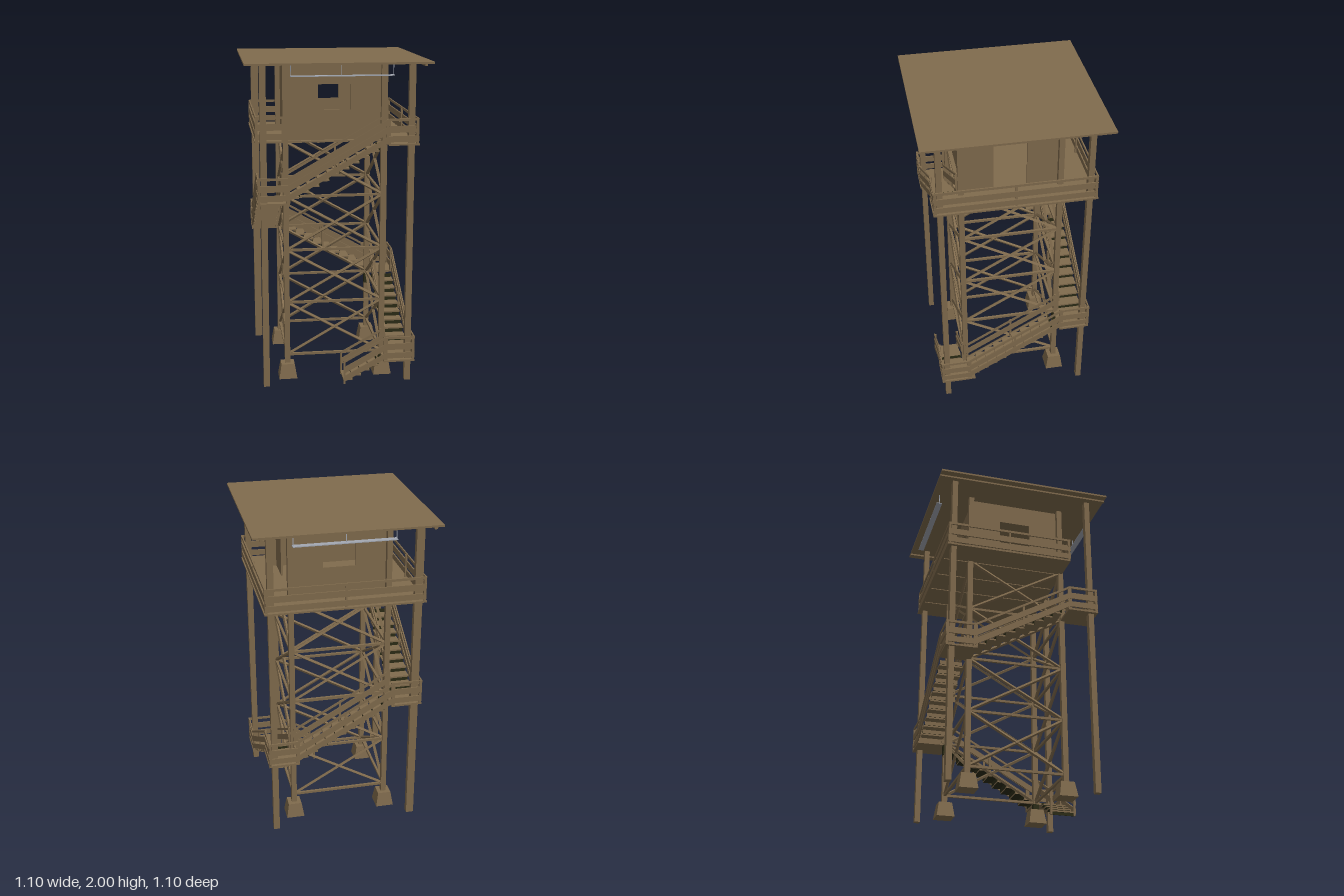
import * as THREE from 'three';

const wood = new THREE.MeshStandardMaterial({ color: 0x806b4d });
wood.name = 'brown wood';
const dark = new THREE.MeshStandardMaterial({ color: 0x2b2b16 });
dark.name = 'dark green wood';
const metal = new THREE.MeshStandardMaterial({ color: 0xa3a8b2 });
metal.name = 'grey metal';

const LEG = 0.3, EDGE = 0.482, RAIL = 0.477, WALL = 0.285;
const LEVELS = [0.145, 0.49, 0.83, 1.17, 1.51];
// rail boards: bottom and top height above the floor
const RAILS = [[0.012, 0.048], [0.068, 0.108], [0.138, 0.153]];

function add(parent, name, geo, mat = wood) {
  const m = new THREE.Mesh(geo, mat);
  m.name = name;
  parent.add(m);
  return m;
}

function box(parent, name, x0, x1, y0, y1, z0, z1, mat = wood) {
  const m = add(parent, name, new THREE.BoxGeometry(x1 - x0, y1 - y0, z1 - z0), mat);
  m.position.set((x0 + x1) / 2, (y0 + y1) / 2, (z0 + z1) / 2);
}

function post(parent, name, x, z, y0, y1, w, d = w, mat = wood) {
  box(parent, name, x - w / 2, x + w / 2, y0, y1, z - d / 2, z + d / 2, mat);
}

// square bar between two points
function bar(parent, name, a, b, t) {
  const d = b.clone().sub(a);
  const m = add(parent, name, new THREE.BoxGeometry(t, t, d.length()));
  m.position.copy(a).add(b).multiplyScalar(0.5);
  m.quaternion.setFromUnitVectors(new THREE.Vector3(0, 0, 1), d.normalize());
}

// board with vertical ends following a slope
function slopedBoard(parent, name, x0, ya, x1, yb, lo, hi, z, t) {
  const s = new THREE.Shape([
    new THREE.Vector2(x0, ya + lo), new THREE.Vector2(x1, yb + lo),
    new THREE.Vector2(x1, yb + hi), new THREE.Vector2(x0, ya + hi)]);
  const m = add(parent, name, new THREE.ExtrudeGeometry(s, { depth: t, bevelEnabled: false }));
  m.position.z = z - t / 2;
}

// railing along local x with posts at its ends and middle
function railing(parent, x0, ya, x1, yb, z, boards = RAILS) {
  for (const [lo, hi] of boards) slopedBoard(parent, 'railBoard', x0, ya, x1, yb, lo, hi, z, 0.008);
  const n = x1 - x0 > 0.4 ? 2 : 1;
  for (let i = 0; i <= n; i++) {
    const f = i / n, y = ya + (yb - ya) * f;
    post(parent, 'railPost', x0 + 0.006 + (x1 - x0 - 0.012) * f, z - 0.006, y, y + 0.15, 0.012);
  }
}

// one flight climbing towards +x on the front side; back is the colour seen from behind and below
function flight(parent, x0, ya, x1, yb, n, back) {
  const run = (x1 - x0) / n, rise = (yb - ya) / n;
  const riserMats = [back, dark, dark, dark, dark, dark];
  const treadMats = [wood, wood, wood, back, wood, wood];
  for (let i = 0; i < n; i++) {
    const x = x0 + i * run, y = ya + (i + 1) * rise;
    if (i < n - 1) box(parent, 'tread', x, x + run * 1.1, y - 0.01, y, 0.325, 0.468, treadMats);
    box(parent, 'riser', x + run * 0.1, x + run * 0.1 + 0.004, y - rise, y - 0.01, 0.328, 0.465, riserMats);
  }
  railing(parent, x0, ya, x1, yb, RAIL);
  railing(parent, x0, ya, x1, yb, 0.326, RAILS.slice(1));
}

// cabin wall, with a window or a doorway
function wall(parent, angle, door) {
  const g = new THREE.Group();
  g.name = door ? 'doorWall' : 'windowWall';
  const s = new THREE.Shape();
  const rect = (p, pts) => pts.forEach(([x, y], i) => (i ? p.lineTo(x, y) : p.moveTo(x, y)));
  if (door) {
    rect(s, [[-WALL, 1.51], [-0.1, 1.51], [-0.1, 1.85], [0.1, 1.85], [0.1, 1.51],
      [WALL, 1.51], [WALL, 1.98], [-WALL, 1.98]]);
  } else {
    rect(s, [[-WALL, 1.51], [WALL, 1.51], [WALL, 1.98], [-WALL, 1.98]]);
    const h = new THREE.Path();
    rect(h, [[-0.1, 1.695], [-0.1, 1.85], [0.1, 1.85], [0.1, 1.695]]);
    s.holes.push(h);
  }
  const m = add(g, 'wallPanel', new THREE.ExtrudeGeometry(s, { depth: 0.012, bevelEnabled: false }));
  m.position.z = WALL - 0.012;
  g.rotation.y = angle;
  parent.add(g);
}

export function createModel() {
  const root = new THREE.Group();
  root.name = 'watchTower';

  // legs, footings and outer posts
  for (const sx of [-1, 1]) for (const sz of [-1, 1]) {
    post(root, 'leg', sx * LEG, sz * LEG, 0.08, 1.985, 0.033);
    const f = add(root, 'footing',
      new THREE.CylinderGeometry(0.042 * Math.SQRT2, 0.057 * Math.SQRT2, 0.093, 4).rotateY(Math.PI / 4).toNonIndexed());
    f.geometry.computeVertexNormals();
    f.position.set(sx * LEG, 0.0465, sz * LEG);
    const big = sx < 0 && sz < 0;
    post(root, 'outerPost', sx * 0.442, sz * 0.443, 0, 1.985, big ? 0.048 : 0.038, 0.034);
  }
  // dark collars on the legs below the two lowest landings
  post(root, 'legCollar', LEG, LEG, 0.093, 0.133, 0.036, 0.036, dark);
  post(root, 'legCollar', LEG, -LEG, 0.41, 0.478, 0.036, 0.036, dark);

  // each side: bracing, stairs and corner landing
  const V = (x, y) => new THREE.Vector3(x, y, LEG);
  for (let k = 0; k < 5; k++) {
    const side = new THREE.Group();
    side.name = 'stairSide';
    side.rotation.y = k * Math.PI / 2;
    root.add(side);
    const y = LEVELS[k];
    if (k === 0) flight(side, 0.035, 0, LEG, y, 5, dark);
    else flight(side, -LEG, LEVELS[k - 1], LEG, y, 10, k === 1 ? dark : wood);
    if (k === 4) continue;
    box(side, 'landing', 0.29, EDGE, y - 0.012, y, 0.29, EDGE);
    railing(side, LEG, y, EDGE, y, RAIL);
    const turn = new THREE.Group();
    turn.name = 'landingRail';
    turn.rotation.y = Math.PI / 2;
    railing(turn, -EDGE, y, -LEG, y, RAIL);
    side.add(turn);
    for (let i = 0; i < 4; i++) {
      bar(side, 'girt', V(-LEG, LEVELS[i]), V(LEG, LEVELS[i]), 0.015);
      bar(side, 'brace', V(-LEG, LEVELS[i]), V(LEG, LEVELS[i + 1]), 0.015);
      bar(side, 'brace', V(LEG, LEVELS[i]), V(-LEG, LEVELS[i + 1]), 0.015);
    }
  }

  // deck with joists, open above the last flight
  const d = 0.485;
  box(root, 'deck', -d, d, 1.503, 1.514, -d, 0.31);
  box(root, 'deckLanding', LEG, d, 1.503, 1.514, 0.31, d);
  for (const x of [-0.3, -0.1, 0.1, 0.3]) box(root, 'deckJoist', x - 0.006, x + 0.006, 1.498, 1.503, -0.47, 0.3);

  // deck railings
  railing(root, LEG, 1.512, EDGE, 1.512, RAIL);
  railing(root, -EDGE, 1.512, -0.31, 1.512, 0.31);
  [[1, -EDGE, EDGE], [2, -EDGE, EDGE], [3, -EDGE, 0.31]].forEach(([k, a, b]) => {
    const g = new THREE.Group();
    g.name = 'deckRail';
    g.rotation.y = k * Math.PI / 2;
    railing(g, a, 1.512, b, 1.512, RAIL);
    root.add(g);
  });

  // cabin
  for (let k = 0; k < 4; k++) wall(root, k * Math.PI / 2, k === 1);

  // flat roof with edge battens on the two sides
  box(root, 'roof', -0.55, 0.55, 1.988, 2, -0.55, 0.55);
  for (const x of [-0.5, 0.5]) box(root, 'rafter', x - 0.008, x + 0.008, 1.977, 1.988, -0.55, 0.55);

  // hanging light bars, front and back
  for (const z of [0.511, -0.508]) {
    box(root, 'lightBar', -0.285, 0.32, 1.921, 1.926, z - 0.018, z + 0.018, metal);
    for (const x of [-0.282, 0.012, 0.316])
      box(root, 'lightHanger', x - 0.002, x + 0.002, 1.926, 1.988, z - 0.002, z + 0.002, metal);
  }
  return root;
}
